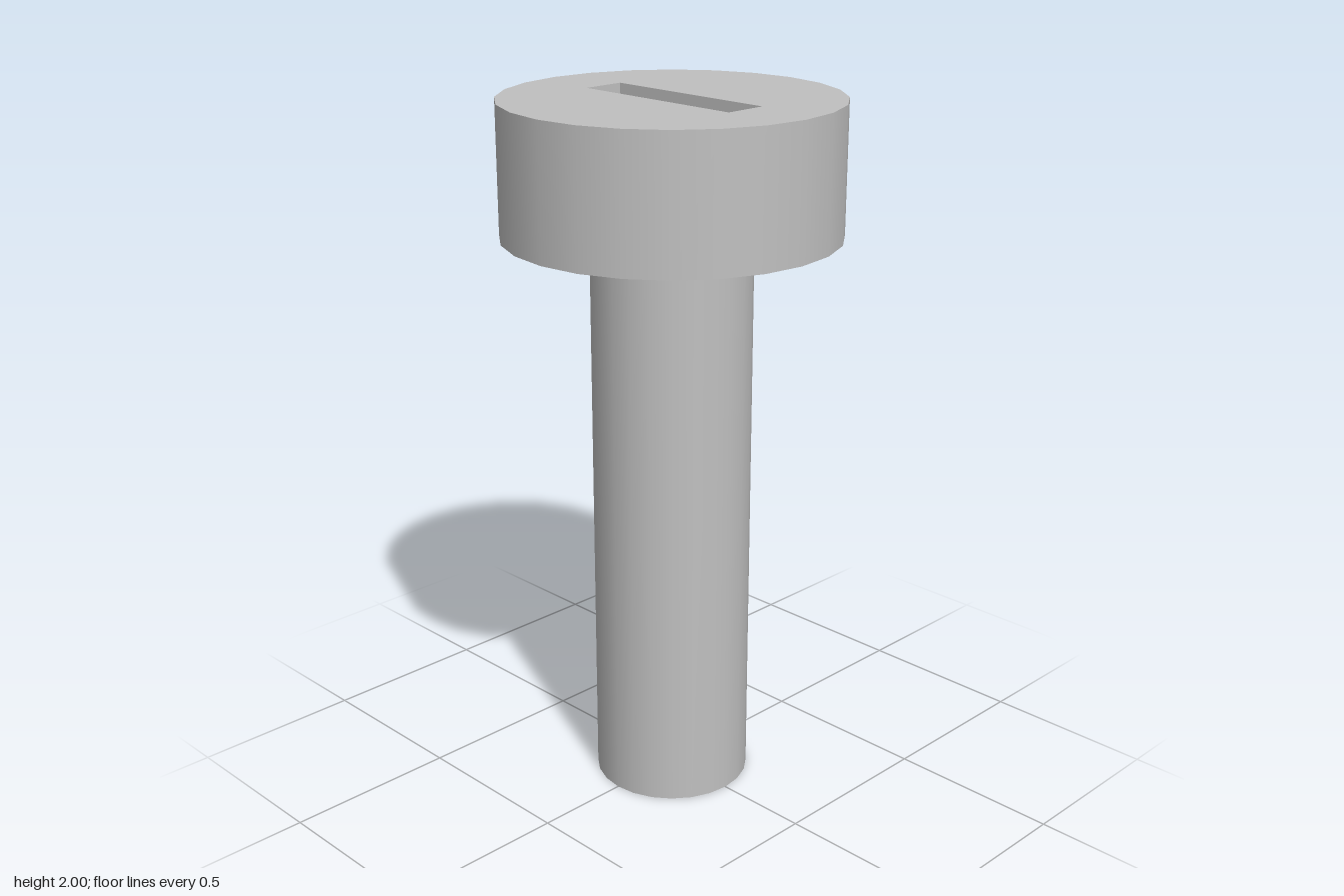
import * as THREE from 'three';

const SIDES = 24;
const HEAD_R = 0.468, SHAFT_R = 0.224;
const HEAD_BOTTOM = 1.63, TOP = 2;
const SLOT = { length: 0.53, width: 0.124, depth: 0.12 };

// Flat disc with a rectangular opening for the slot, facing up
function slottedDisc() {
  const shape = new THREE.Shape();
  for (let i = 0; i < SIDES; i++) {
    const a = (i / SIDES) * Math.PI * 2;
    const x = HEAD_R * Math.cos(a), y = HEAD_R * Math.sin(a);
    if (i) shape.lineTo(x, y); else shape.moveTo(x, y);
  }
  shape.closePath();
  const l = SLOT.length / 2, w = SLOT.width / 2;
  shape.holes.push(new THREE.Path([[-l, -w], [-l, w], [l, w], [l, -w]].map(p => new THREE.Vector2(...p))));
  return new THREE.ShapeGeometry(shape).rotateX(-Math.PI / 2);
}

// Inward-facing box without a lid: four walls and a floor
function slotRecess() {
  const geo = new THREE.BoxGeometry(SLOT.length, SLOT.depth, SLOT.width);
  const index = Array.from(geo.index.array);
  index.splice(18, 6);
  geo.setIndex(index);
  geo.clearGroups();
  geo.scale(1, -1, 1);
  geo.computeVertexNormals();
  return geo;
}

export function createModel() {
  const steel = new THREE.MeshStandardMaterial({ color: 0xc0c0c0 });
  steel.name = 'steel grey';

  const add = (parent, name, geometry, y) => {
    const mesh = new THREE.Mesh(geometry, steel);
    mesh.name = name;
    mesh.position.y = y;
    parent.add(mesh);
  };

  const model = new THREE.Group();
  model.name = 'screw';

  add(model, 'shaft', new THREE.CylinderGeometry(SHAFT_R, SHAFT_R, HEAD_BOTTOM, SIDES), HEAD_BOTTOM / 2);

  // Slotted cylindrical head
  const head = new THREE.Group();
  head.name = 'head';
  model.add(head);
  const headHeight = TOP - HEAD_BOTTOM;
  add(head, 'headSide', new THREE.CylinderGeometry(HEAD_R, HEAD_R, headHeight, SIDES, 1, true), HEAD_BOTTOM + headHeight / 2);
  add(head, 'headTop', slottedDisc(), TOP);
  add(head, 'headUnderside', new THREE.RingGeometry(SHAFT_R, HEAD_R, SIDES).rotateX(Math.PI / 2), HEAD_BOTTOM);
  add(head, 'driverSlot', slotRecess(), TOP - SLOT.depth / 2);

  return model;
}
